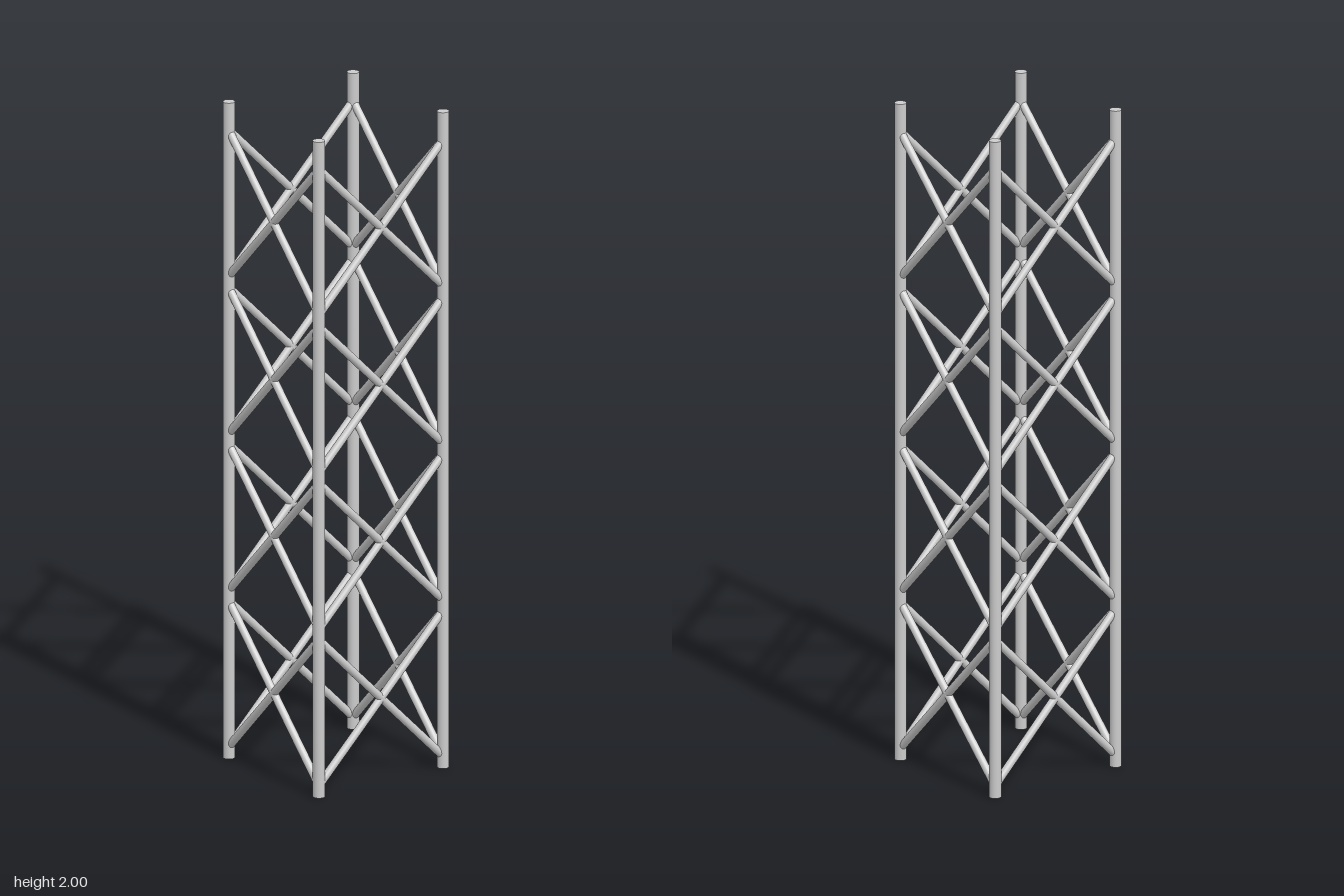
import * as THREE from 'three';

const HALF_X = 0.223, HALF_Z = 0.218;
const POST_R = 0.018, BRACE_R = 0.012;
const CROSSINGS = [0.255, 0.732, 1.21, 1.69]; // heights where the braces cross
const RISE = 0.222;                           // half the height of one X

const material = new THREE.MeshStandardMaterial({ color: 0xcccccc });

// Round bar between two points
function bar(name, from, to, radius) {
  const dir = to.clone().sub(from);
  const mesh = new THREE.Mesh(new THREE.CylinderGeometry(radius, radius, dir.length(), 24), material);
  mesh.position.copy(from).add(to).multiplyScalar(0.5);
  mesh.quaternion.setFromUnitVectors(new THREE.Vector3(0, 1, 0), dir.normalize());
  mesh.name = name;
  return mesh;
}

export function createModel() {
  const model = new THREE.Group();
  model.name = 'latticeTower';

  // Corners in order around the square
  const corners = [[1, 1], [1, -1], [-1, -1], [-1, 1]];
  const point = ([sx, sz], y) => new THREE.Vector3(sx * HALF_X, y, sz * HALF_Z);

  // Four upright posts
  for (const c of corners) model.add(bar('cornerPost', point(c, 0), point(c, 2), POST_R));

  // Stacked X braces on each side
  const sides = ['leftBraces', 'backBraces', 'rightBraces', 'frontBraces'];
  sides.forEach((name, i) => {
    const side = new THREE.Group();
    side.name = name;
    const a = corners[i], b = corners[(i + 1) % 4];
    for (const y of CROSSINGS) {
      side.add(bar('diagonalBrace', point(a, y - RISE), point(b, y + RISE), BRACE_R));
      side.add(bar('diagonalBrace', point(b, y - RISE), point(a, y + RISE), BRACE_R));
    }
    model.add(side);
  });

  return model;
}
